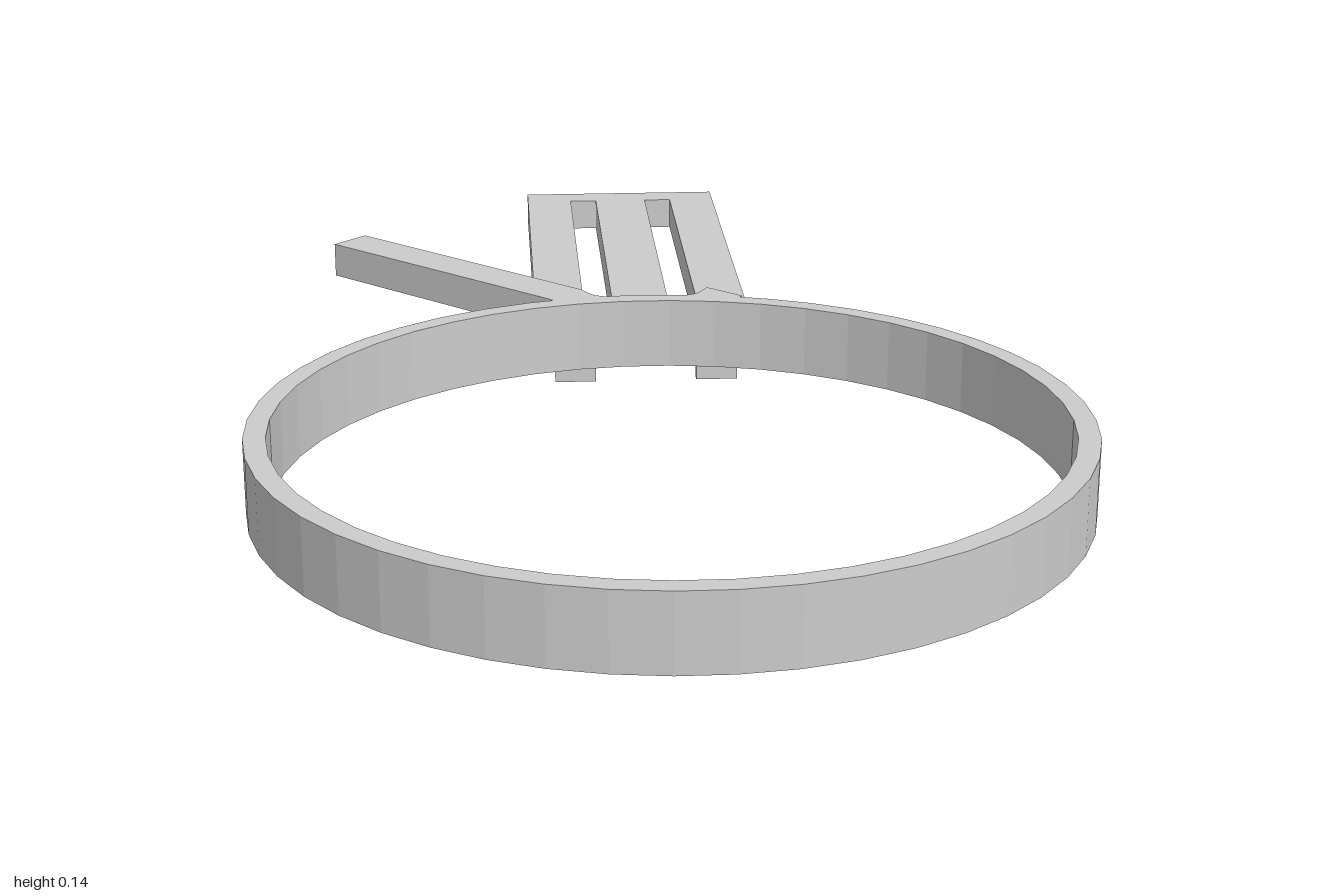
import * as THREE from 'three';

export function createModel() {
  const group = new THREE.Group();
  const grey = new THREE.MeshStandardMaterial({ color: 0xcccccc });
  grey.name = 'plain grey';

  // Outlines are drawn as [x, z] seen from above and raised from y0 to y1
  const points = (list) => list.map(([x, z]) => new THREE.Vector2(x, -z));
  const slot = (x0, x1, z0, z1) => points([[x0, z0], [x0, z1], [x1, z1], [x1, z0]]);
  const circle = (r, z, n) => Array.from({ length: n }, (_, i) => {
    const a = ((i + 0.5) / n) * Math.PI * 2;
    return new THREE.Vector2(Math.cos(a) * r, Math.sin(a) * r - z);
  });
  function slab(name, outline, y0, y1, holes = []) {
    const shape = new THREE.Shape(outline);
    holes.forEach((h) => shape.holes.push(new THREE.Path(h)));
    const geometry = new THREE.ExtrudeGeometry(shape, { depth: y1 - y0, bevelEnabled: false });
    geometry.rotateX(-Math.PI / 2).translate(0, y0, 0);
    const mesh = new THREE.Mesh(geometry, grey);
    mesh.name = name;
    group.add(mesh);
  }

  // Faceted hoop
  slab('ring', circle(0.581, 0.42, 48), 0.03, 0.138, [circle(0.55, 0.42, 48)]);

  // Slotted handle with a neck that reaches the hoop
  slab('handle', points([
    [-0.173, -1], [0.173, -1], [0.173, -0.2], [0.1, -0.2], [0.1, -0.15],
    [-0.1, -0.15], [-0.1, -0.2], [-0.173, -0.2],
  ]), 0.03, 0.083, [slot(-0.093, -0.046, -0.947, -0.262), slot(0.046, 0.093, -0.947, -0.262)]);

  // Wedges joining hoop and handle, with feet reaching the ground
  for (const [side, s] of [['left', 1], ['right', -1]]) {
    slab(side + 'Wedge', points([
      [0.065 * s, -0.15], [0.066 * s, -0.158], [0.08 * s, -0.164], [0.09 * s, -0.178],
      [0.1 * s, -0.197], [0.152 * s, -0.148], [0.14 * s, -0.13],
    ]), 0.03, 0.138);
    slab(side + 'Foot', points([
      [0.08 * s, -0.147], [0.08 * s, -0.164], [0.1 * s, -0.197], [0.145 * s, -0.147],
    ]), 0, 0.03);
  }

  // Slanting side arm
  slab('sideArm', points([[-0.507, -0.486], [-0.458, -0.538], [-0.1, -0.197], [-0.152, -0.148]]), 0.083, 0.138);

  return group;
}
